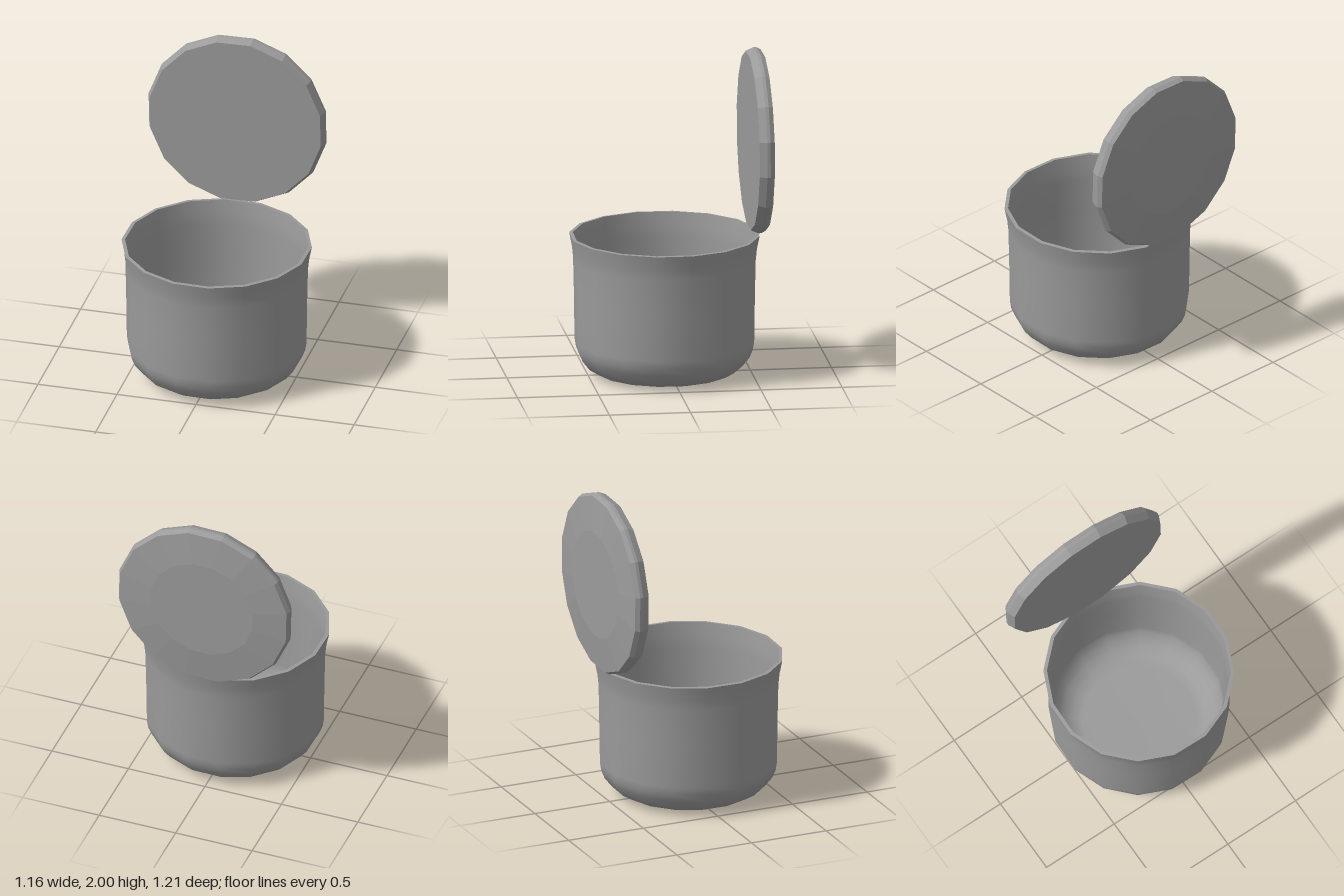
import * as THREE from 'three';

const SIDES = 16;
const START = THREE.MathUtils.degToRad(10);
const COLOR = 0x9b9b9b;

// Surface of revolution from [radius, height] pairs
function turn(name, profile, flat, material) {
  const points = profile.map(([r, y]) => new THREE.Vector2(r, y));
  let geometry = new THREE.LatheGeometry(points, SIDES, START);
  if (flat) {
    geometry = geometry.toNonIndexed();
    geometry.computeVertexNormals();
  }
  const mesh = new THREE.Mesh(geometry, material);
  mesh.name = name;
  return mesh;
}

export function createModel() {
  const smooth = new THREE.MeshStandardMaterial({ color: COLOR });
  const faceted = new THREE.MeshStandardMaterial({ color: COLOR, flatShading: true });
  const model = new THREE.Group();
  model.name = 'potWithLid';

  // Pot: flared outer wall, flat rim and inner wall, split to keep the rim sharp
  const pot = new THREE.Group();
  pot.name = 'pot';
  pot.add(
    turn('outerWall', [
      [0, 0], [0.35, 0.003], [0.42, 0.018], [0.48, 0.055], [0.523, 0.11], [0.543, 0.16],
      [0.551, 0.21], [0.555, 0.5], [0.56, 0.72], [0.567, 0.79], [0.584, 0.875],
    ], false, smooth),
    turn('rim', [[0.584, 0.875], [0.562, 0.877]], true, faceted),
    turn('innerWall', [
      [0.562, 0.877], [0.549, 0.79], [0.543, 0.72], [0.539, 0.5], [0.533, 0.21],
      [0.523, 0.165], [0.5, 0.115], [0.463, 0.072], [0.41, 0.038], [0.35, 0.024], [0, 0.021],
    ], false, smooth),
  );
  pot.position.set(0.004, 0, 0.03);
  model.add(pot);

  // Lid: standing upright behind the pot, flat side to the front
  const lid = turn('lid', [
    [0, 0], [0.549, 0], [0.569, 0.045], [0.569, 0.065], [0.554, 0.092], [0.338, 0.115], [0, 0.115],
  ], true, faceted);
  lid.rotation.x = -Math.PI / 2;
  lid.position.set(-0.019, 1.442, -0.49);
  model.add(lid);

  return model;
}
